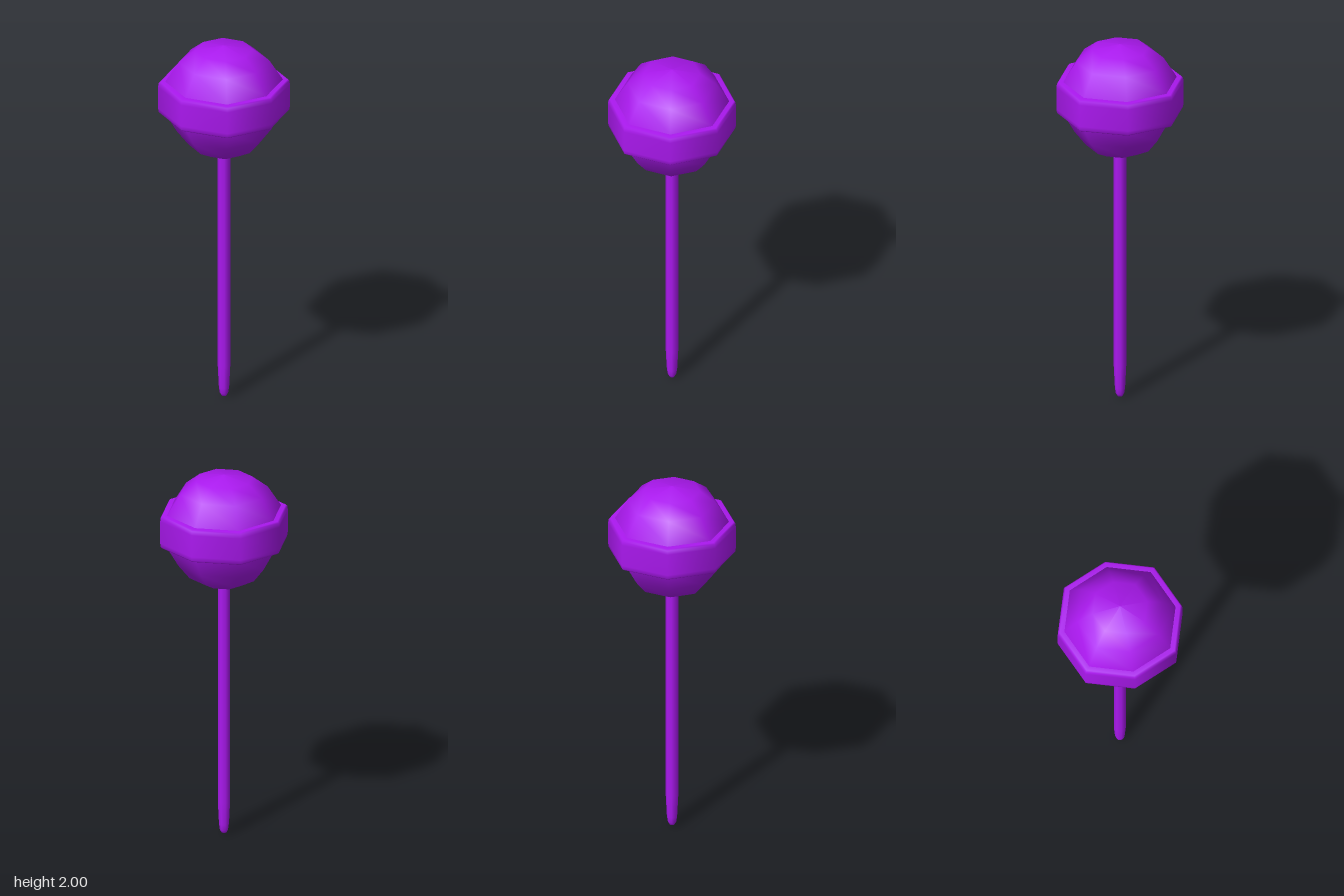
import * as THREE from 'three';

const SIDES = 8;

export function createModel() {
  const model = new THREE.Group();
  model.name = 'lollipop';
  const purple = new THREE.MeshStandardMaterial({ color: 0xaa18ee });

  // Eight-sided turned part from [radius, height] points, listed bottom to top;
  // the four diagonal corners sit slightly further out than the others
  function turned(name, points, diagonal = 1) {
    const geo = new THREE.LatheGeometry(points.map(([r, y]) => new THREE.Vector2(r, y)), SIDES);
    const pos = geo.attributes.position;
    for (let i = 0; i < pos.count; i++) {
      const x = pos.getX(i), z = pos.getZ(i);
      if (Math.min(Math.abs(x), Math.abs(z)) > 1e-5) pos.setXYZ(i, x * diagonal, pos.getY(i), z * diagonal);
    }
    const mesh = new THREE.Mesh(geo, purple);
    mesh.name = name;
    model.add(mesh);
  }

  // Faceted candy ball with a small neck where the stick enters
  turned('candyBall', [
    [0.03, 1.375], [0.04, 1.388], [0.106, 1.4], [0.18, 1.44], [0.238, 1.515], [0.297, 1.62],
    [0.312, 1.71], [0.297, 1.8], [0.228, 1.91], [0.146, 1.975], [0, 2],
  ], 1.03);

  // Raised belt around the middle with softened rims
  turned('candyBelt', [
    [0.28, 1.62], [0.322, 1.62], [0.33, 1.628], [0.333, 1.65],
    [0.333, 1.77], [0.33, 1.792], [0.322, 1.8], [0.28, 1.8],
  ], 1.03);

  // Stick with a tapered, rounded lower end
  turned('stick', [
    [0, 0], [0.014, 0.007], [0.022, 0.022], [0.027, 0.055], [0.033, 0.18], [0.033, 1.42],
  ]);

  return model;
}
